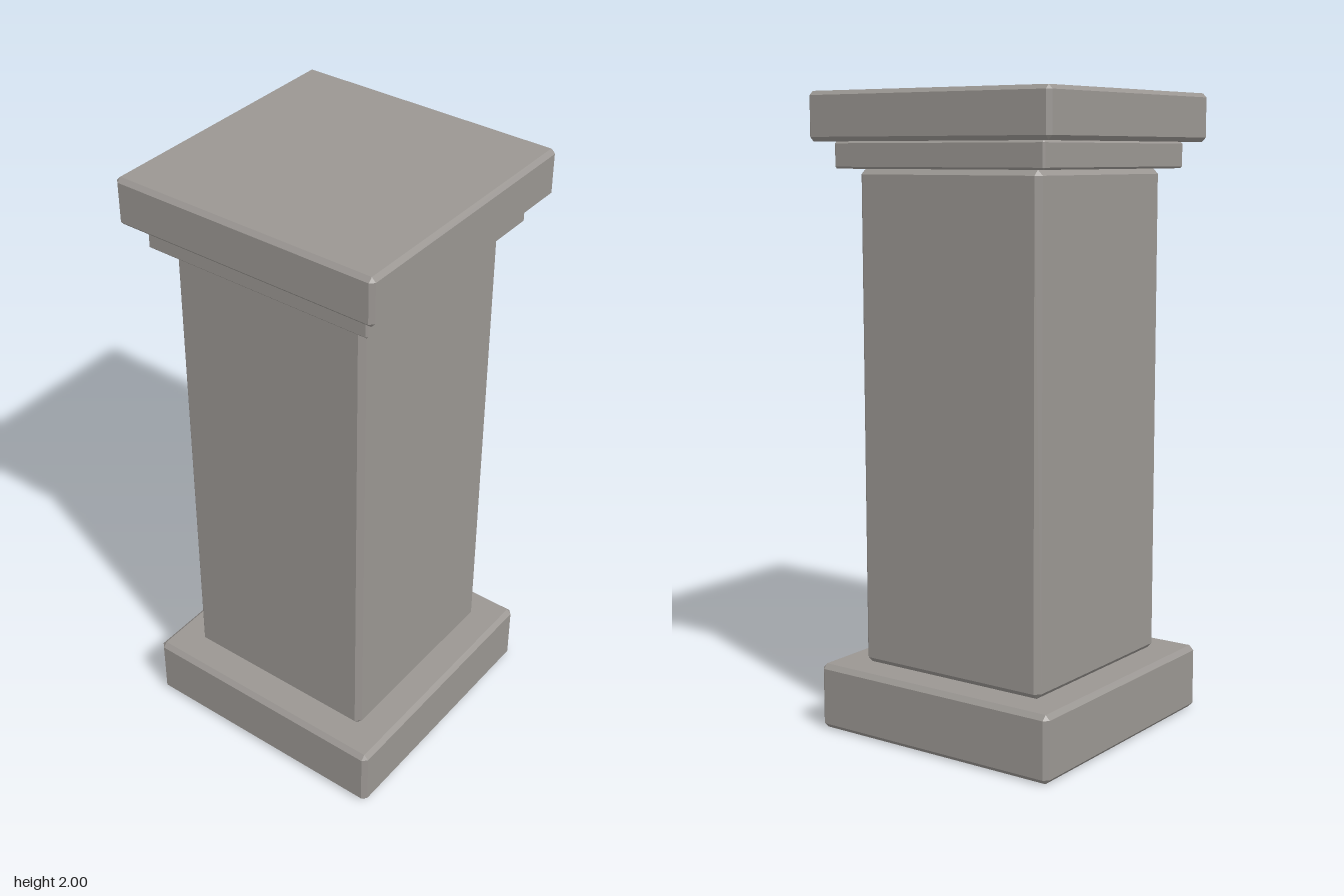
import * as THREE from 'three';
import { ConvexGeometry } from 'three/addons/geometries/ConvexGeometry.js';

// Box with flat bevels on all edges: half width w, from y0 to y1, bevel b
function bevelledBox(w, y0, y1, b) {
  const h = (y1 - y0) / 2, mid = (y0 + y1) / 2, points = [];
  for (const sx of [-1, 1]) for (const sy of [-1, 1]) for (const sz of [-1, 1]) {
    points.push(
      new THREE.Vector3(sx * w, mid + sy * (h - b), sz * (w - b)),
      new THREE.Vector3(sx * (w - b), mid + sy * h, sz * (w - b)),
      new THREE.Vector3(sx * (w - b), mid + sy * (h - b), sz * w)
    );
  }
  return new ConvexGeometry(points);
}

export function createModel() {
  const group = new THREE.Group();
  group.name = 'stonePillar';
  const stone = new THREE.MeshStandardMaterial({ color: 0x9a9692 });
  stone.name = 'grey stone';

  // Stacked blocks: name, half width, bottom, top, bevel
  const blocks = [
    ['base', 0.436, 0, 0.21, 0.015],
    ['shaft', 0.336, 0.21, 1.768, 0.017],
    ['neck', 0.387, 1.768, 1.85, 0.006],
    ['cap', 0.443, 1.85, 2, 0.013],
  ];
  for (const [name, w, y0, y1, b] of blocks) {
    const mesh = new THREE.Mesh(bevelledBox(w, y0, y1, b), stone);
    mesh.name = name;
    group.add(mesh);
  }
  return group;
}
